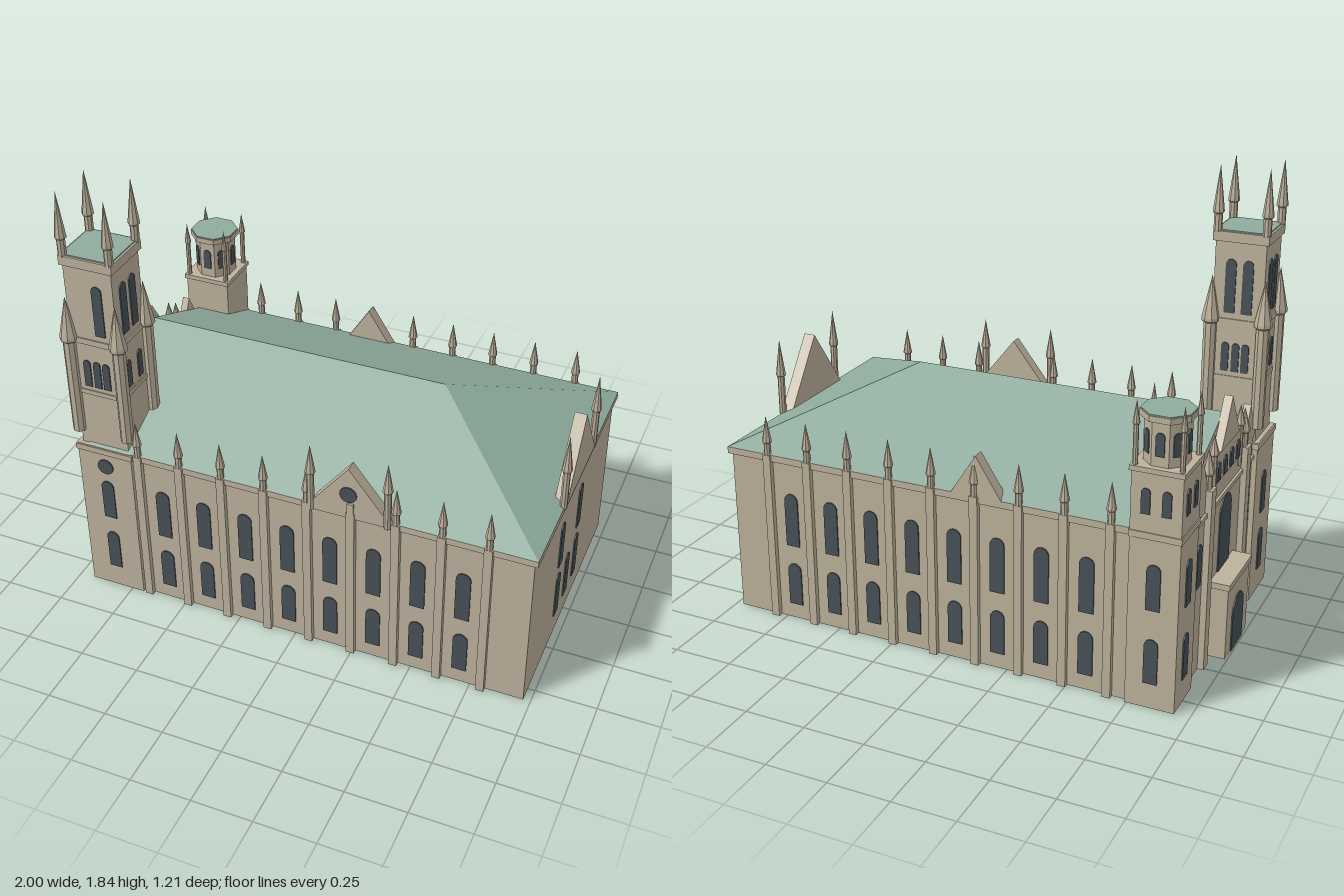
import * as THREE from 'three';

const stone = new THREE.MeshStandardMaterial({ name: 'stone', color: 0xbdb19b, flatShading: true, side: THREE.DoubleSide });
const roofing = new THREE.MeshStandardMaterial({ name: 'copper roof', color: 0x8fab9d, flatShading: true, side: THREE.DoubleSide });
const glass = new THREE.MeshStandardMaterial({ name: 'dark glass', color: 0x475157 });

const FRONT = 0, BACK = Math.PI, EAST = Math.PI / 2, WEST = -Math.PI / 2;

function add(parent, name, geo, mat, x = 0, y = 0, z = 0, ry = 0) {
  const m = new THREE.Mesh(geo, mat);
  m.name = name;
  m.position.set(x, y, z);
  m.rotation.y = ry;
  parent.add(m);
  return m;
}

// box given by its limits
function block(parent, name, x0, x1, y0, y1, z0, z1, mat = stone) {
  return add(parent, name, new THREE.BoxGeometry(x1 - x0, y1 - y0, z1 - z0), mat, (x0 + x1) / 2, (y0 + y1) / 2, (z0 + z1) / 2);
}

// hollow box without floor; closed on top if wanted
function shell(parent, name, x0, x1, y0, y1, z0, z1, top) {
  const m = block(parent, name, x0, x1, y0, y1, z0, z1);
  const idx = Array.from(m.geometry.index.array);
  idx.splice(top ? 18 : 12, top ? 6 : 12);
  m.geometry.setIndex(idx);
  m.geometry.clearGroups();
  return m;
}

// round-headed plate standing on y, facing ry
function arch(parent, name, x, y, z, w, h, ry) {
  const r = w / 2, s = new THREE.Shape();
  s.moveTo(-r, 0);
  s.lineTo(r, 0);
  s.lineTo(r, h - r);
  s.absarc(0, h - r, r, 0, Math.PI, false);
  s.closePath();
  add(parent, name, new THREE.ExtrudeGeometry(s, { depth: 0.005, bevelEnabled: false, curveSegments: 6 }), glass, x, y, z, ry);
}

function roundWindow(parent, x, y, z) {
  const g = new THREE.CylinderGeometry(0.035, 0.035, 0.006, 16).rotateX(Math.PI / 2);
  add(parent, 'roundWindow', g, glass, x, y, z);
}

// octagonal shaft with collar and spike
function pinnacle(parent, name, x, z, y0, yc, y1, r) {
  const pts = [[0, y0], [r, y0], [r, yc - r * 0.8], [r * 1.35, yc - r * 0.5], [r * 1.35, yc], [0, y1]];
  const g = new THREE.LatheGeometry(pts.map(p => new THREE.Vector2(...p)), 8);
  add(parent, name, g, stone, x, 0, z, Math.PI / 8);
}

// triangular gable slab, centred across its thickness
function gable(parent, name, x, y, z, half, h, t, ry) {
  const s = new THREE.Shape([new THREE.Vector2(-half, 0), new THREE.Vector2(half, 0), new THREE.Vector2(0, h)]);
  const g = new THREE.ExtrudeGeometry(s, { depth: t, bevelEnabled: false }).translate(0, 0, -t / 2);
  add(parent, name, g, stone, x, y, z, ry);
}

function hall(root) {
  const g = new THREE.Group();
  g.name = 'mainHall';
  root.add(g);
  shell(g, 'walls', -0.9, 0.97, 0, 0.71, -0.58, 0.563, false);

  // cornice ring
  const rect = (P, x0, x1, z0, z1) => new P([[x0, z0], [x1, z0], [x1, z1], [x0, z1]].map(p => new THREE.Vector2(p[0], -p[1])));
  const ring = rect(THREE.Shape, -0.9, 0.985, -0.592, 0.575);
  ring.holes.push(rect(THREE.Path, -0.89, 0.96, -0.57, 0.55));
  add(g, 'cornice', new THREE.ExtrudeGeometry(ring, { depth: 0.028, bevelEnabled: false }).rotateX(-Math.PI / 2), stone, 0, 0.692, 0);

  // roof hipped at the east end only
  const A = [-0.89, 0.72, 0.575], B = [0.985, 0.72, 0.575], C = [0.985, 0.72, -0.592], D = [-0.89, 0.72, -0.592];
  const R = [-0.89, 0.98, -0.01], S = [0.41, 0.98, -0.01];
  const surface = (name, tris, mat) => {
    const geo = new THREE.BufferGeometry();
    geo.setAttribute('position', new THREE.Float32BufferAttribute(tris.flat(), 3));
    geo.computeVertexNormals();
    add(g, name, geo, mat);
  };
  surface('roof', [A, B, S, A, S, R, C, D, R, C, R, S, B, C, S], roofing);
  surface('roofEnd', [D, A, R], stone);

  // long sides: windows, buttresses, pinnacles
  for (const [z, dir, ry] of [[0.563, 1, FRONT], [-0.58, -1, BACK]]) {
    for (let i = 0; i < 8; i++) {
      const x = -0.575 + 0.1825 * i;
      arch(g, 'lowerWindow', x, 0.065, z, 0.06, 0.185, ry);
      arch(g, 'upperWindow', x, 0.33, z, 0.06, 0.23, ry);
    }
    for (let i = 0; i < 9; i++) {
      const x = -0.668 + 0.183 * i, zc = z + dir * 0.007;
      block(g, 'buttress', x - 0.017, x + 0.017, 0, 0.72, zc - 0.014, zc + 0.014);
      if (dir > 0 && i === 5) block(g, 'buttressStub', x - 0.013, x + 0.013, 0.72, 0.765, zc - 0.014, zc + 0.014);
      else pinnacle(g, 'buttressPinnacle', x, zc, 0.7, 0.78, 0.885, 0.014);
    }
  }

  // gables on the three open sides
  gable(g, 'frontGable', 0.238, 0.715, 0.55, 0.165, 0.21, 0.05, FRONT);
  roundWindow(g, 0.238, 0.805, 0.577);
  for (const x of [0.08, 0.395]) pinnacle(g, 'gablePinnacle', x, 0.57, 0.69, 0.87, 0.99, 0.015);
  gable(g, 'backGable', -0.127, 0.715, -0.567, 0.108, 0.17, 0.05, BACK);
  gable(g, 'eastGable', 0.965, 0.715, 0.017, 0.21, 0.295, 0.05, EAST);
  for (const z of [0.23, -0.193]) pinnacle(g, 'gablePinnacle', 0.98, z, 0.715, 0.9, 1.05, 0.015);

  // east windows
  for (const z of [0.152, 0.02, -0.112]) {
    arch(g, 'eastLowerWindow', 0.97, 0.105, z, 0.053, 0.21, EAST);
    if (z !== 0.02) arch(g, 'eastUpperWindow', 0.97, 0.365, z, 0.053, 0.21, EAST);
  }
}

function squareTower(root) {
  const g = new THREE.Group();
  g.name = 'tallTower';
  root.add(g);
  const cx = -0.817, cz = 0.46;
  const tier = (name, h, y0, y1) => shell(g, name, cx - h, cx + h, y0, y1, cz - h, cz + h, true);
  tier('towerBase', 0.12, 0, 0.72);
  tier('baseBand', 0.126, 0.692, 0.718);
  tier('belfry', 0.103, 0.72, 1.56);
  tier('middleBand', 0.107, 0.965, 0.985);
  tier('upperBand', 0.108, 1.2, 1.225);
  tier('crown', 0.113, 1.54, 1.58);
  block(g, 'towerRoof', cx - 0.104, cx + 0.104, 1.58, 1.585, cz - 0.104, cz + 0.104, roofing);
  for (const sx of [-1, 1]) for (const sz of [-1, 1]) {
    pinnacle(g, 'cornerTurret', cx + sx * 0.108, cz + sz * 0.108, 0.785, 1.225, 1.4, 0.027);
    pinnacle(g, 'crownPinnacle', cx + sx * 0.099, cz + sz * 0.099, 1.575, 1.66, 1.84, 0.017);
  }

  // windows, placed by sideways offset on each face
  const on = (ry, off, y, w, h, d) => arch(g, 'towerWindow', cx + Math.sin(ry) * d + Math.cos(ry) * off, y, cz + Math.cos(ry) * d - Math.sin(ry) * off, w, h, ry);
  for (const ry of [FRONT, BACK, EAST, WEST]) {
    const long = ry === FRONT ? [0.033] : [-0.035, 0.035];
    const short = ry === FRONT || ry === BACK ? [-0.043, 0, 0.04] : [-0.042, 0.042];
    for (const o of long) on(ry, o, 1.25, 0.043, 0.22, 0.103);
    for (const o of short) on(ry, o, 1.005, 0.031, 0.12, 0.103);
  }
  for (const ry of [FRONT, WEST]) {
    on(ry, 0, 0.105, 0.055, 0.185, 0.12);
    on(ry, 0, 0.37, 0.055, 0.185, 0.12);
  }
  roundWindow(g, cx, 0.63, cz + 0.122);
}

function octagonTower(root) {
  const g = new THREE.Group();
  g.name = 'octagonTower';
  root.add(g);
  const cx = -0.84, cz = -0.5, turn = Math.PI / 8;
  shell(g, 'towerBase', cx - 0.098, cx + 0.098, 0, 0.96, cz - 0.098, cz + 0.098, true);
  shell(g, 'baseLedge', cx - 0.105, cx + 0.105, 0.95, 0.97, cz - 0.105, cz + 0.105, true);
  shell(g, 'baseBand', cx - 0.102, cx + 0.102, 0.692, 0.718, cz - 0.102, cz + 0.102, true);
  const oct = (name, flat, y0, y1, mat) => {
    const r = flat / Math.cos(turn);
    add(g, name, new THREE.CylinderGeometry(r, r, y1 - y0, 8), mat, cx, (y0 + y1) / 2, cz, turn);
  };
  oct('lantern', 0.08, 0.97, 1.14, stone);
  oct('lanternCap', 0.096, 1.14, 1.163, stone);
  oct('lanternRoof', 0.093, 1.163, 1.168, roofing);
  for (let i = 0; i < 8; i++) {
    const a = i * Math.PI / 4;
    arch(g, 'lanternWindow', cx + Math.sin(a) * 0.08, 1.01, cz + Math.cos(a) * 0.08, 0.034, 0.09, a);
  }
  for (const sx of [-1, 1]) for (const sz of [-1, 1])
    pinnacle(g, 'lanternPinnacle', cx + sx * 0.088, cz + sz * 0.088, 0.965, 1.13, 1.215, 0.01);
  for (const ry of [BACK, WEST]) {
    const s = Math.sin(ry), c = Math.cos(ry);
    const on = (off, y, w, h) => arch(g, 'towerWindow', cx + s * 0.098 + c * off, y, cz + c * 0.098 - s * off, w, h, ry);
    for (const o of [-0.04, 0.04]) on(o, 0.79, 0.035, 0.1);
    on(0, 0.105, 0.055, 0.185);
    on(0, 0.41, 0.055, 0.185);
  }
}

function westFront(root) {
  const g = new THREE.Group();
  g.name = 'westFront';
  root.add(g);
  const mid = -0.012;
  block(g, 'facadeWall', -0.915, -0.885, 0, 0.75, -0.4, 0.345);
  block(g, 'centreParapet', -0.92, -0.885, 0.74, 0.86, mid - 0.17, mid + 0.17);
  block(g, 'facadeBand', -0.925, -0.885, 0.65, 0.668, -0.4, 0.345);
  gable(g, 'centreGable', -0.905, 0.86, 0, 0.115, 0.185, 0.035, WEST);
  for (const s of [-1, 1]) {
    gable(g, 'sideGable', -0.9, 0.74, mid + s * 0.3, 0.085, 0.165, 0.03, WEST);
    const z = mid + s * 0.225;
    block(g, 'facadeButtress', -0.94, -0.885, 0, 0.76, z - 0.025, z + 0.025);
    pinnacle(g, 'facadePinnacle', -0.912, z, 0.75, 0.83, 0.92, 0.019);
    pinnacle(g, 'parapetPinnacle', -0.912, mid + s * 0.165, 0.7, 0.88, 0.955, 0.015);
    arch(g, 'sideWindow', -0.915, 0.38, mid + s * 0.3, 0.05, 0.18, WEST);
  }
  arch(g, 'greatWindow', -0.915, 0.33, 0, 0.14, 0.31, WEST);
  for (let i = 0; i < 4; i++) arch(g, 'galleryWindow', -0.92, 0.75, mid - 0.12 + 0.08 * i, 0.04, 0.075, WEST);

  // entrance porch
  block(g, 'porch', -0.99, -0.9, 0, 0.31, mid - 0.138, mid + 0.138);
  block(g, 'porchCap', -0.998, -0.9, 0.305, 0.33, mid - 0.147, mid + 0.147);
  arch(g, 'door', -0.99, 0, mid, 0.14, 0.23, WEST);
}

export function createModel() {
  const root = new THREE.Group();
  root.name = 'church';
  hall(root);
  squareTower(root);
  octagonTower(root);
  westFront(root);
  return root;
}
